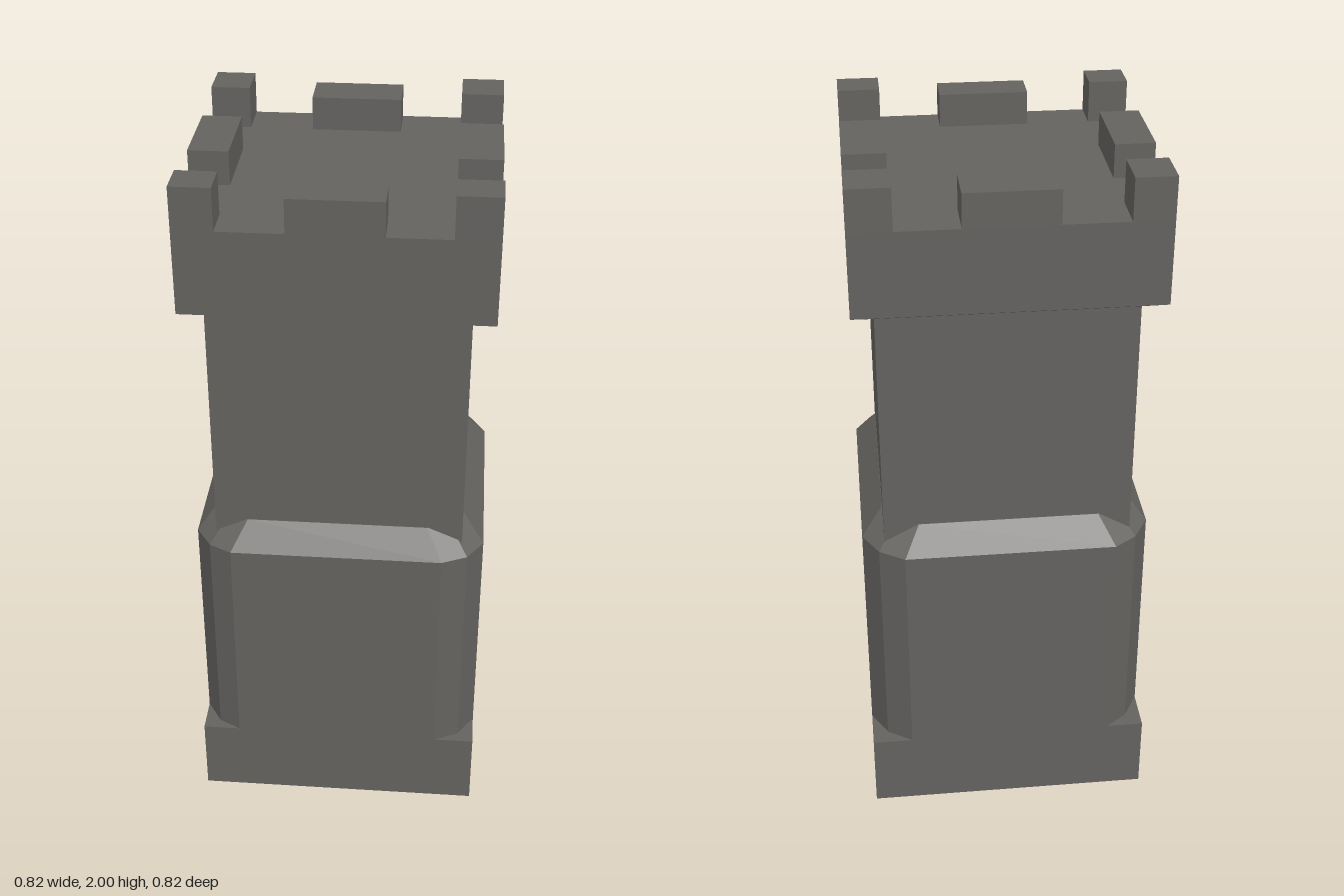
import * as THREE from 'three';

const HALF = 0.408; // half width of base and parapet
const stone = new THREE.MeshStandardMaterial({ color: 0x64625f, flatShading: true });
stone.name = 'stone';

// Solid lofted through rings of [x, z] points at rising heights, capped at both ends
function loft(name, levels) {
  const pos = [];
  const n = levels[0].ring.length;
  const at = (l, i) => {
    const [x, z] = levels[l].ring[i % n];
    return [x, levels[l].y, z];
  };
  const tri = (...corners) => corners.forEach((c) => pos.push(...c));
  const last = levels.length - 1;
  for (let i = 0; i < n; i++) {
    for (let l = 0; l < last; l++) {
      tri(at(l, i), at(l + 1, i), at(l + 1, i + 1));
      tri(at(l, i), at(l + 1, i + 1), at(l, i + 1));
    }
    tri([0, levels[0].y, 0], at(0, i), at(0, i + 1));
    tri([0, levels[last].y, 0], at(last, i + 1), at(last, i));
  }
  const geo = new THREE.BufferGeometry();
  geo.setAttribute('position', new THREE.Float32BufferAttribute(pos, 3));
  geo.computeVertexNormals();
  const mesh = new THREE.Mesh(geo, stone);
  mesh.name = name;
  return mesh;
}

const square = (h) => [[h, h], [-h, h], [-h, -h], [h, -h]];

// Square ring whose corners are cut by two facets; cuts start at the given inner lines
const X0 = -0.3, X1 = 0.292, Z0 = -0.285, Z1 = 0.306;
function cutRing(scale) {
  const h = HALF, m = 0.045;
  return [
    [h, Z1], [h - m, h - m + 0.012], [X1, h],
    [X0, h], [-h + m, h - m + 0.012], [-h, Z1],
    [-h, Z0], [-h + m, -h + m], [X0, -h],
    [X1, -h], [h - m, -h + m], [h, Z0],
  ].map(([x, z]) => [x * scale, z * scale]);
}

// Box given by its extents
function block(name, x0, x1, y0, y1, z0, z1) {
  const mesh = new THREE.Mesh(new THREE.BoxGeometry(x1 - x0, y1 - y0, z1 - z0), stone);
  mesh.position.set((x0 + x1) / 2, (y0 + y1) / 2, (z0 + z1) / 2);
  mesh.name = name;
  return mesh;
}

export function createModel() {
  const tower = new THREE.Group();
  tower.name = 'tower';

  // Square plinth and lower shaft with cut corners and sloped shoulder
  tower.add(loft('plinth', [
    { y: 0, ring: square(HALF) },
    { y: 0.23, ring: square(HALF) },
  ]));
  tower.add(loft('lowerShaft', [
    { y: 0.23, ring: cutRing(1) },
    { y: 0.9, ring: cutRing(1) },
    { y: 0.975, ring: cutRing(0.853) },
  ]));

  // Upper shaft flaring out into the parapet
  tower.add(loft('upperShaft', [
    { y: 0.9, ring: square(0.347) },
    { y: 1.62, ring: square(0.347) },
  ]));
  tower.add(loft('parapet', [
    { y: 1.62, ring: square(0.347) },
    { y: 1.652, ring: square(HALF) },
    { y: 1.885, ring: square(HALF) },
  ]));

  // Battlements: tall corners, lower and wider middles
  const merlons = new THREE.Group();
  merlons.name = 'battlements';
  const base = 1.885, mid = 0.124;
  const xs = [[-HALF, X0], [-mid, mid], [X1, HALF]];
  const zs = [[-HALF, Z0], [-mid, mid], [Z1, HALF]];
  xs.forEach(([x0, x1], i) => zs.forEach(([z0, z1], j) => {
    if (i === 1 && j === 1) return;
    const corner = i !== 1 && j !== 1;
    merlons.add(block(corner ? 'cornerMerlon' : 'middleMerlon',
      x0, x1, base, corner ? 2 : 1.978, z0, z1));
  }));
  tower.add(merlons);
  return tower;
}
